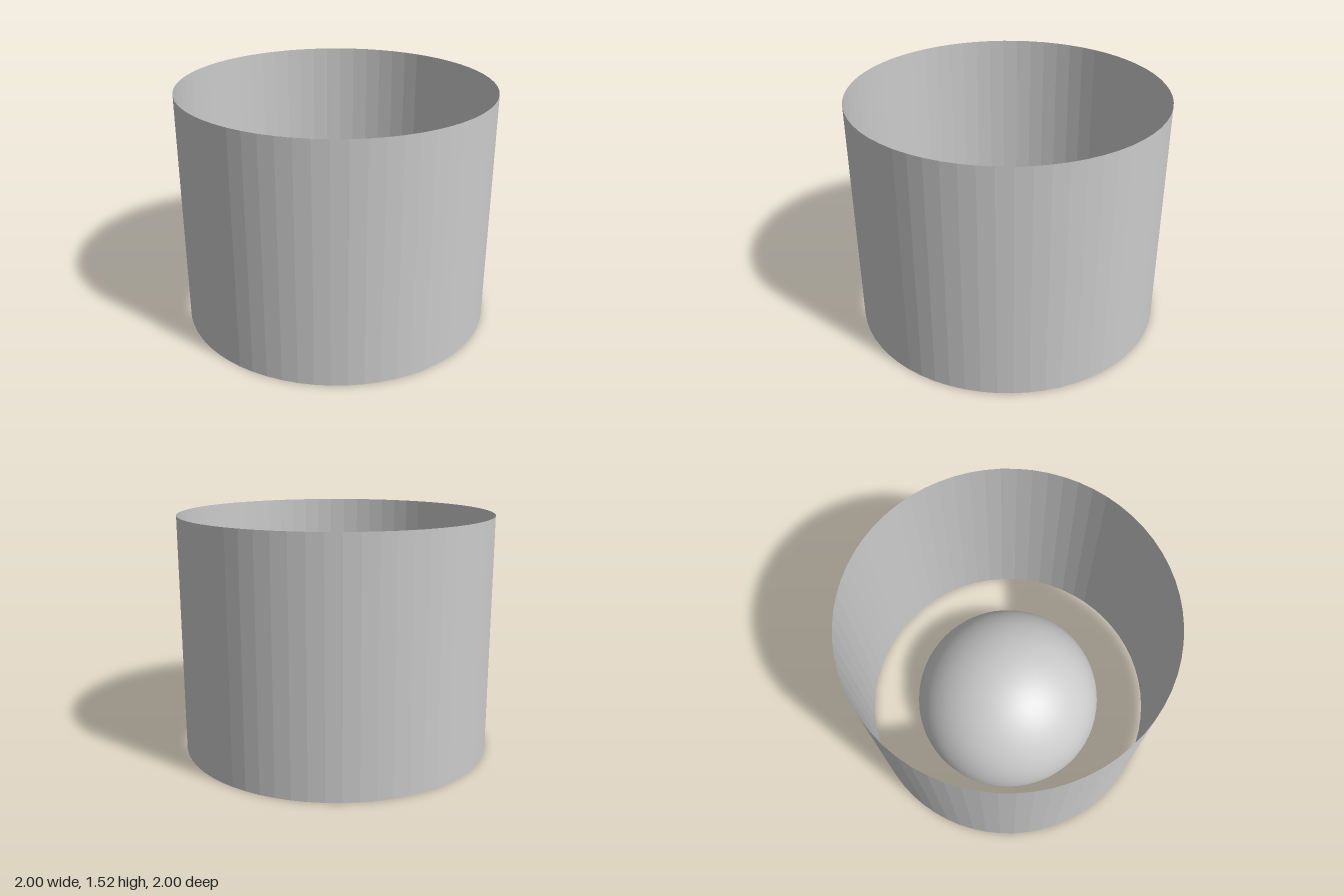
import * as THREE from 'three';

const WALL_RADIUS = 1;
const WALL_HEIGHT = 1.52;
const DOME_RADIUS = 0.665;

export function createModel() {
  const group = new THREE.Group();
  group.name = 'domeInTube';

  // Thin outer wall, open at both ends
  const wall = new THREE.Mesh(
    new THREE.CylinderGeometry(WALL_RADIUS, WALL_RADIUS, WALL_HEIGHT, 64, 1, true),
    new THREE.MeshStandardMaterial({ color: 0xcccccc, flatShading: true, side: THREE.DoubleSide })
  );
  wall.name = 'outerWall';
  wall.position.y = WALL_HEIGHT / 2;
  group.add(wall);

  // Hollow hemisphere standing inside the wall, open below
  const dome = new THREE.Mesh(
    new THREE.SphereGeometry(DOME_RADIUS, 64, 32, 0, Math.PI * 2, 0, Math.PI / 2),
    new THREE.MeshStandardMaterial({ color: 0xcccccc, side: THREE.DoubleSide })
  );
  dome.name = 'innerDome';
  group.add(dome);

  return group;
}
